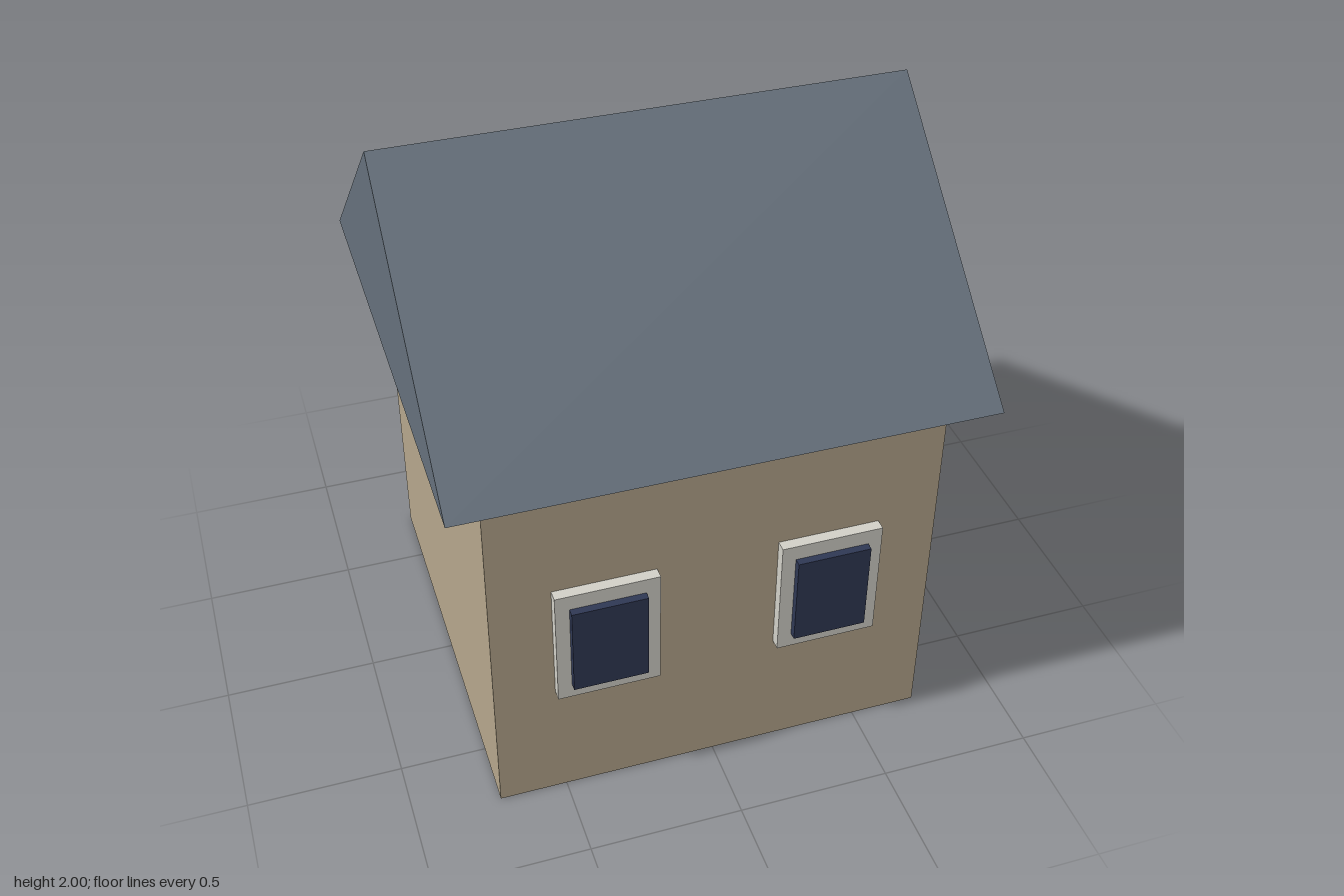
import * as THREE from 'three';

const material = (name, color) => {
  const m = new THREE.MeshStandardMaterial({ color });
  m.name = name;
  return m;
};

export function createModel() {
  const wallMat = material('sandWall', 0xb5a68c);
  const roofMat = material('slateRoof', 0x65707b);
  const frameMat = material('paleFrame', 0xd2d0c8);
  const glassMat = material('navyGlass', 0x2f3854);

  const house = new THREE.Group();
  house.name = 'house';

  const add = (parent, name, geometry, mat, x, y, z) => {
    const mesh = new THREE.Mesh(geometry, mat);
    mesh.name = name;
    mesh.position.set(x, y, z);
    parent.add(mesh);
  };

  // Walls
  const wallHeight = 1.285;
  add(house, 'walls', new THREE.BoxGeometry(1.44, wallHeight, 1.44), wallMat, 0, wallHeight / 2, 0);

  // Solid gable roof, ridge running along x
  const roofLength = 1.68;
  const gable = new THREE.Shape([
    new THREE.Vector2(-0.837, 0),
    new THREE.Vector2(0.837, 0),
    new THREE.Vector2(0, 2 - wallHeight),
  ]);
  const roof = new THREE.ExtrudeGeometry(gable, { depth: roofLength, bevelEnabled: false });
  roof.translate(0, 0, -roofLength / 2).rotateY(Math.PI / 2);
  add(house, 'roof', roof, roofMat, 0, wallHeight, 0);

  // Front windows: a raised frame slab with a pane standing proud of it
  for (const side of [-1, 1]) {
    const win = new THREE.Group();
    win.name = side > 0 ? 'leftWindow' : 'rightWindow';
    win.position.set(side * 0.36, 0.642, 0.72);
    add(win, 'windowFrame', new THREE.BoxGeometry(0.33, 0.42, 0.072), frameMat, 0, 0, 0);
    add(win, 'windowPane', new THREE.BoxGeometry(0.24, 0.315, 0.05), glassMat, 0, 0, 0.036);
    house.add(win);
  }

  return house;
}
